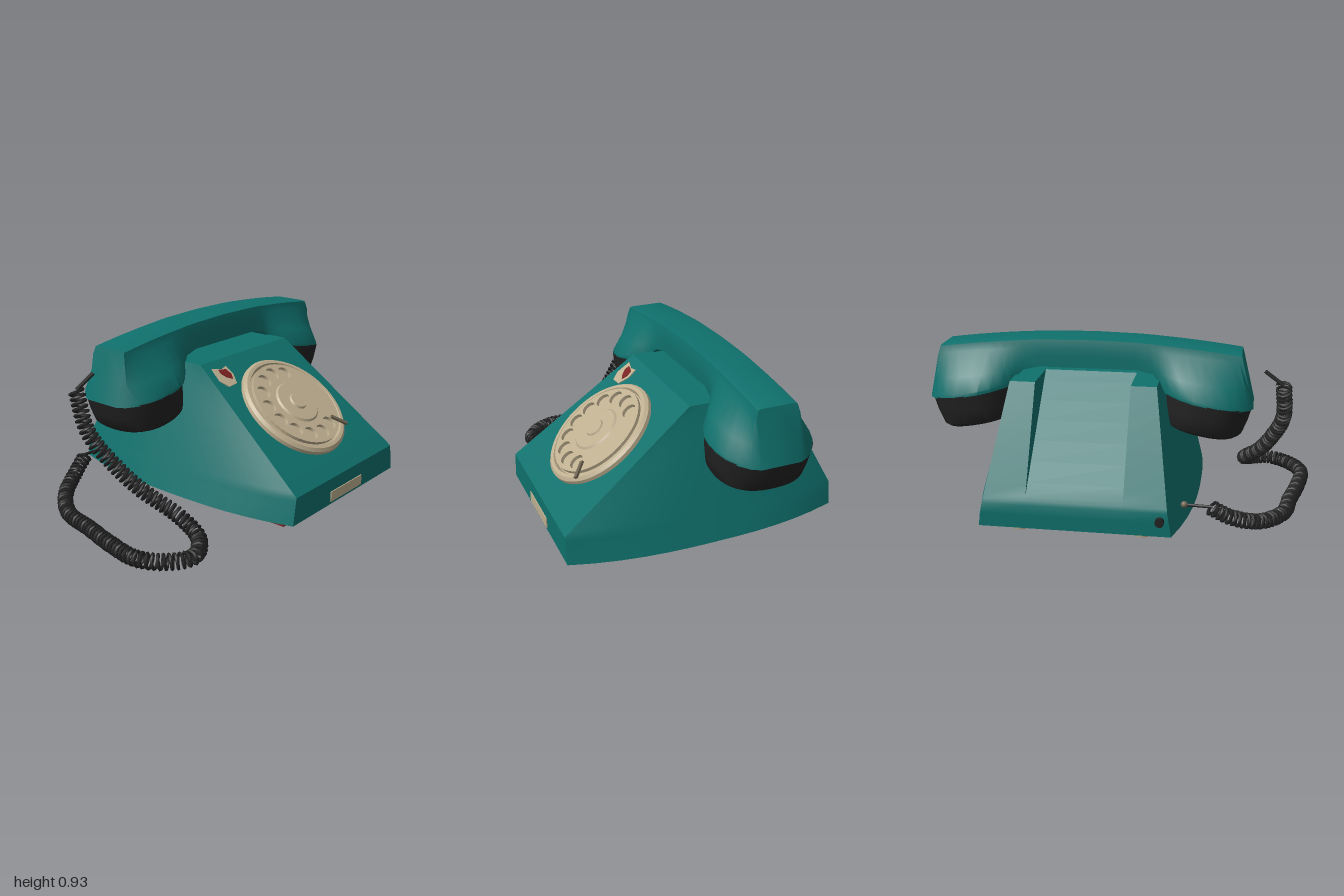
import * as THREE from 'three';
import { toCreasedNormals } from 'three/addons/utils/BufferGeometryUtils.js';

const CX = 0.165; // centre line of the telephone
const HZ = -0.18; // depth of the handset axis
const SLOPE = 1.303; // run over rise of the front face
const lerp = THREE.MathUtils.lerp;

const material = (name, color) => Object.assign(new THREE.MeshStandardMaterial({ color }), { name });

// Skins a list of equal-length rings (counter-clockwise about the direction of travel) and caps both ends
function loft(rings, project, crease = 0.6) {
  const pos = [];
  const tri = (a, b, c) => pos.push(...a, ...b, ...c);
  const n = rings[0].length;
  for (let k = 0; k + 1 < rings.length; k++) {
    const a = rings[k], b = rings[k + 1];
    for (let i = 0; i < n; i++) {
      const j = (i + 1) % n;
      tri(a[i], a[j], b[j]);
      tri(a[i], b[j], b[i]);
    }
  }
  const cap = (ring, inner) => {
    const out = new THREE.Vector3(...ring[0]).sub(new THREE.Vector3(...inner[0]));
    const flat = ring.map((p) => new THREE.Vector2(...project(p)));
    for (const [a, b, c] of THREE.ShapeUtils.triangulateShape(flat, [])) {
      const A = new THREE.Vector3(...ring[a]);
      const normal = new THREE.Vector3(...ring[b]).sub(A).cross(new THREE.Vector3(...ring[c]).sub(A));
      if (normal.dot(out) > 0) tri(ring[a], ring[b], ring[c]);
      else tri(ring[a], ring[c], ring[b]);
    }
  };
  cap(rings[0], rings[1]);
  cap(rings[rings.length - 1], rings[rings.length - 2]);
  const g = new THREE.BufferGeometry();
  g.setAttribute('position', new THREE.Float32BufferAttribute(pos, 3));
  return toCreasedNormals(g, crease);
}

// Plan outline of the body at height y: bowed sides and a finger recess in the back
function bodyRing(y, scale = 1, level = y) {
  const k = THREE.MathUtils.clamp((y - 0.09) / 0.655, 0, 1);
  const front = Math.min(0.73, 0.64 - (y - 0.3) * SLOPE);
  const back = -0.71 + Math.max(0, y - 0.21) * 0.523;
  const end = lerp(0.47, 0.365, k), mid = lerp(0.565, 0.365, k);
  const groove = back + Math.max(0, y - 0.25) * 0.47;
  const g = 0.237, N = 12, side = [];
  for (let i = 0; i <= N; i++) {
    const t = (i / N) * 2 - 1;
    side.push([lerp(mid, end, Math.abs(t) ** 2.5), lerp(front, back, i / N)]);
  }
  const outline = [...side, [g, back], [g, groove], [-g, groove], [-g, back],
    ...side.map(([x, z]) => [-x, z]).reverse()];
  return outline.map(([x, z]) => [CX + x * scale, level, z * scale]);
}

// Handset shell stations: distance from middle, underside height, half width
const STATIONS = [
  [0, 0.785, 0.11], [0.25, 0.785, 0.11], [0.33, 0.768, 0.118], [0.37, 0.725, 0.135], [0.395, 0.687, 0.16],
  [0.43, 0.68, 0.19], [0.48, 0.671, 0.225], [0.54, 0.66, 0.246], [0.6, 0.649, 0.25], [0.66, 0.638, 0.246],
  [0.72, 0.627, 0.226], [0.77, 0.617, 0.19], [0.81, 0.61, 0.145], [0.83, 0.607, 0.1],
];

function handsetRing([u, bottom, w], s) {
  const ut = u * 0.92;
  const top = 0.93 - 0.055 * (ut / 0.765) ** 2;
  const half = [[0.085, 0], [0.1, 0.02], [0.11, 0.045 / (top - bottom)], [lerp(0.11, w, 0.65), 0.62],
    [w, 0.93], [w, 1]];
  const pts = [[0, 0], ...half, [0, 1], ...half.map(([z, f]) => [-z, f]).reverse()];
  return pts.map(([z, f]) => [CX + s * lerp(ut, u, f), lerp(top, bottom, f), HZ + z]);
}

// Rounded ear or mouth piece, tilted outward; s picks the side
function capGeometry(s) {
  const rings = [[0.484, 0.86, -0.035], [0.5, 0.92, -0.03], [0.57, 0.97, -0.015], [0.652, 1, 0]].map(([y, k, shift]) => {
    const ring = [];
    for (let i = 0; i < 40; i++) {
      const a = (i / 40) * Math.PI * 2, c = Math.cos(a), d = Math.sin(a);
      const u = 0.218 * k * Math.sign(c) * Math.abs(c) ** 0.85 + shift;
      const z = 0.25 * k * Math.sign(d) * Math.abs(d) ** 0.85;
      ring.push([CX + s * (0.61 + u), y - 0.186 * u, HZ - s * z]);
    }
    return ring;
  });
  return loft(rings, (p) => [p[0], p[2]]);
}

// Coiled wire wound around a guide path
function coilGeometry(path, turns, radius, wire) {
  const steps = turns * 10, frames = path.computeFrenetFrames(steps), pts = [];
  for (let i = 0; i <= steps; i++) {
    const a = (i / 10) * Math.PI * 2;
    pts.push(path.getPointAt(i / steps)
      .addScaledVector(frames.normals[i], radius * Math.cos(a))
      .addScaledVector(frames.binormals[i], radius * Math.sin(a)));
  }
  const curve = new THREE.CatmullRomCurve3(pts);
  curve.arcLengthDivisions = steps * 2;
  return new THREE.TubeGeometry(curve, steps, wire, 5);
}

export function createModel() {
  const teal = material('teal plastic', 0x0f706c);
  const black = material('black plastic', 0x222222);
  const red = material('dark red base', 0x7a2020);
  const beige = material('beige plastic', 0xbdae8f);
  const taupe = material('taupe metal', 0x6b6250);
  const root = new THREE.Group();
  const add = (name, geometry, mat, x = 0, y = 0, z = 0, parent = root) => {
    const mesh = new THREE.Mesh(geometry, mat);
    mesh.name = name;
    mesh.position.set(x, y, z);
    parent.add(mesh);
    return mesh;
  };
  const box = (w, h, d) => new THREE.BoxGeometry(w, h, d);
  const cyl = (r, h, r2 = r) => new THREE.CylinderGeometry(r, r2, h, 28);
  const plan = (p) => [p[0], p[2]];

  // Body and base
  const levels = [0.09, 0.16, 0.21, 0.23, 0.25, 0.3, 0.38, 0.46, 0.54, 0.62, 0.7, 0.745];
  add('body', loft(levels.map((y) => bodyRing(y)), plan), teal);
  add('basePlate', loft([bodyRing(0.09, 0.97, 0.08), bodyRing(0.09, 0.97, 0.092)], plan), red);
  add('frontBaseStep', box(0.87, 0.035, 0.55), red, CX, 0.0665, 0.375);
  add('baseNotch', box(0.3, 0.03, 0.08), red, CX, 0.068, 0.07);
  add('rearBaseStep', box(0.76, 0.02, 0.52), red, CX, 0.074, -0.35);
  for (const s of [-1, 1]) {
    add('rearFootBoss', cyl(0.06, 0.04), red, CX + s * 0.31, 0.06, -0.535);
    add('frontFoot', cyl(0.05, 0.04, 0.045), beige, CX + s * 0.31, 0.034, 0.49);
    add('rearFoot', cyl(0.05, 0.03, 0.045), beige, CX + s * 0.31, 0.029, -0.535);
  }
  add('frontLabel', box(0.29, 0.055, 0.008), beige, CX, 0.131, 0.731);
  add('rearPlug', cyl(0.022, 0.03), black, -0.25, 0.17, -0.718).rotation.x = Math.PI / 2;

  // Dial, laid on the sloping front
  const tilt = -Math.atan(SLOPE);
  const dial = new THREE.Group();
  dial.name = 'dial';
  dial.position.set(CX, 0.4956, 0.385);
  dial.rotation.x = tilt;
  root.add(dial);
  const dish = [[0, 0.014], [0.268, 0.014], [0.276, 0.034], [0.295, 0.034], [0.31, 0.02], [0.312, -0.01]];
  const dishGeometry = toCreasedNormals(
    new THREE.LatheGeometry(dish.map(([r, y]) => new THREE.Vector2(r, y)).reverse(), 56), 0.5);
  add('dialDish', dishGeometry, beige, 0, 0, 0, dial).rotation.x = Math.PI / 2;
  const wheel = new THREE.Shape().absarc(0, 0, 0.262, 0, Math.PI * 2);
  for (let i = 0; i < 10; i++) {
    const a = THREE.MathUtils.degToRad(65 + i * 26);
    wheel.holes.push(new THREE.Path().absarc(0.203 * Math.cos(a), 0.203 * Math.sin(a), 0.039, 0, Math.PI * 2, true));
  }
  add('fingerWheel', new THREE.ExtrudeGeometry(wheel, { depth: 0.018, bevelEnabled: false, curveSegments: 24 }),
    beige, 0, 0, 0.022, dial);
  add('dialCentre', cyl(0.12, 0.01, 0.13), beige, 0, 0, 0.044, dial).rotation.x = Math.PI / 2;
  add('dialKnob', cyl(0.045, 0.012, 0.052), beige, 0, 0, 0.052, dial).rotation.x = Math.PI / 2;
  add('fingerStop', box(0.1, 0.018, 0.012), taupe, 0.175, -0.19, 0.045, dial).rotation.z = -0.82;

  // Painted badge on the slope
  const badge = new THREE.Group();
  badge.name = 'badge';
  badge.position.set(-0.108, 0.68, 0.146);
  badge.rotation.x = tilt;
  root.add(badge);
  const plate = (points, depth) => new THREE.ExtrudeGeometry(
    new THREE.Shape(points.map(([x, y]) => new THREE.Vector2(x, y))), { depth, bevelEnabled: false });
  add('badgePlate', plate([[-0.06, -0.02], [-0.03, -0.065], [0.035, -0.06], [0.062, 0], [0.055, 0.055],
    [0.01, 0.045], [-0.05, 0.062]], 0.005), beige, 0, 0, 0, badge);
  add('badgeMark', plate([[0, -0.01], [0.03, -0.03], [0.045, 0], [0.035, 0.035], [-0.015, 0.045], [-0.02, 0.02]],
    0.003), red, 0, 0, 0.005, badge);

  // Handset
  const rings = [...STATIONS.slice(1).reverse().map((s) => handsetRing(s, -1)), ...STATIONS.map((s) => handsetRing(s, 1))];
  add('handset', loft(rings, (p) => [p[2], p[1]], 0.7), teal);
  add('mouthpiece', capGeometry(-1), black);
  add('earpiece', capGeometry(1), black);

  // Coiled cord and its straight ends
  const vectors = (list) => list.map((p) => new THREE.Vector3(...p));
  const cordPath = new THREE.CatmullRomCurve3(vectors([
    [-0.48, 0.18, -0.54], [-0.58, 0.12, -0.51], [-0.72, 0.07, -0.43], [-0.84, 0.05, -0.27], [-0.88, 0.046, -0.08],
    [-0.93, 0.046, 0.13], [-0.95, 0.046, 0.32], [-0.88, 0.046, 0.45], [-0.77, 0.05, 0.51], [-0.65, 0.07, 0.43],
    [-0.63, 0.13, 0.29], [-0.71, 0.25, 0.11], [-0.77, 0.37, -0.01], [-0.82, 0.52, -0.12], [-0.81, 0.71, -0.2],
  ]));
  add('coiledCord', coilGeometry(cordPath, 95, 0.034, 0.0085), black);
  const lead = (name, a, b, r) => add(name, new THREE.TubeGeometry(
    new THREE.LineCurve3(...vectors([a, b])), 1, r, 8), black);
  lead('handsetLead', [-0.81, 0.71, -0.2], [-0.715, 0.775, -0.18], 0.01);
  lead('bodyLead', [-0.49, 0.185, -0.545], [-0.35, 0.185, -0.535], 0.008);
  add('cordGrommet', new THREE.SphereGeometry(0.018, 16, 12), taupe, -0.352, 0.185, -0.535);
  return root;
}
